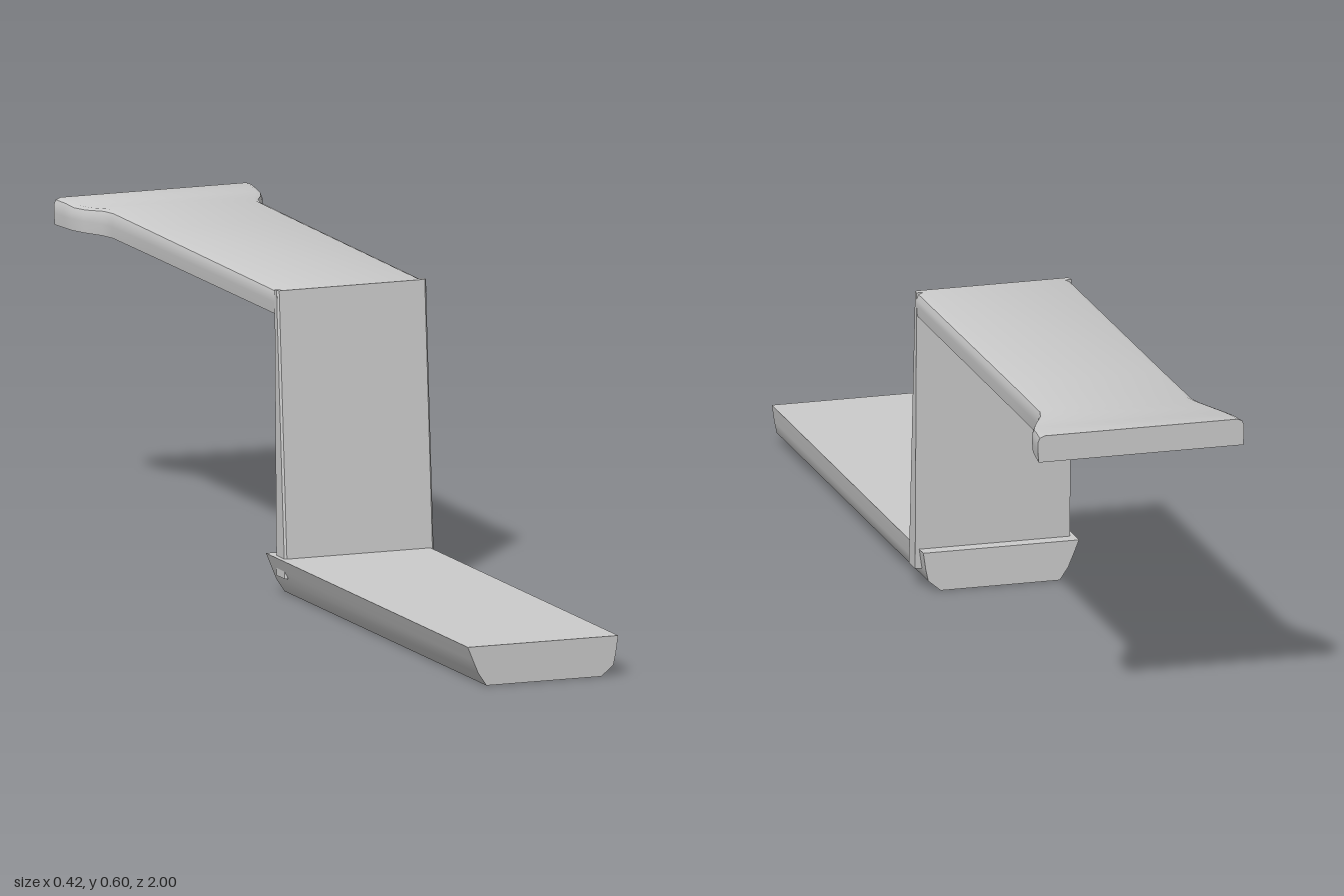
import * as THREE from 'three';
import { toCreasedNormals } from 'three/addons/utils/BufferGeometryUtils.js';

const material = new THREE.MeshStandardMaterial({ color: 0xcccccc, side: THREE.DoubleSide });

// Skin a list of convex rings (counter-clockwise seen from the first end) and cap both ends.
function loft(name, rings) {
  const n = rings[0].length, index = [];
  rings.slice(1).forEach((_, r) => {
    for (let j = 0; j < n; j++) {
      const k = (j + 1) % n;
      const a = r * n + j, b = r * n + k, c = b + n, d = a + n;
      index.push(a, d, c, a, c, b);
    }
  });
  const last = (rings.length - 1) * n;
  for (let j = 1; j < n - 1; j++) {
    index.push(0, j, j + 1, last, last + j + 1, last + j);
  }
  const geometry = new THREE.BufferGeometry();
  geometry.setAttribute('position', new THREE.Float32BufferAttribute(rings.flat(2), 3));
  geometry.setIndex(index);
  const mesh = new THREE.Mesh(toCreasedNormals(geometry, 0.75), material);
  mesh.name = name;
  return mesh;
}

export function createModel() {
  const group = new THREE.Group();
  group.name = 'steppedBracket';

  // Lower plank: flat top, slightly uneven rounded underside
  const lowerProfile = [
    [-0.166, 0.079], [-0.155, 0.052], [-0.144, 0.026], [-0.127, 0.001],
    [0.113, 0.001], [0.138, 0.022], [0.143, 0.045], [0.148, 0.079],
  ];
  group.add(loft('lowerPlank', [1, -0.025].map((z) => lowerProfile.map(([x, y]) => [x, y, z]))));

  // Upright: thin panel, thicker and further forward at the foot
  const upright = [
    [0.6, 0.008, -0.006],
    [0.04, 0.05, 0.004],
  ].map(([y, front, back]) => {
    const w = 0.156, bevel = 0.004;
    return [
      [-w, y, back], [-w, y, front - bevel], [-w + bevel, y, front],
      [w - bevel, y, front], [w, y, front - bevel], [w, y, back],
    ];
  });
  group.add(loft('upright', upright));

  // Upper plank: rounded top edges and a flared far end
  const stations = [
    // z, half width, top height
    [0.006, 0.156, 0.6],
    [-0.65, 0.156, 0.603],
    [-0.83, 0.157, 0.604],
    [-0.86, 0.165, 0.604],
    [-0.9, 0.187, 0.601],
    [-0.93, 0.199, 0.601],
    [-0.96, 0.203, 0.604],
    [-1, 0.208, 0.605],
  ];
  const upper = stations.map(([z, w, top]) => {
    const right = [[w - 0.002, 0.552], [w, 0.575], [w, top - 0.014], [w - 0.004, top - 0.004], [w - 0.014, top]];
    const left = right.map(([x, y]) => [-x, y]).reverse();
    return [...right, ...left].map(([x, y]) => [x, y, z]);
  });
  group.add(loft('upperPlank', upper));

  return group;
}
